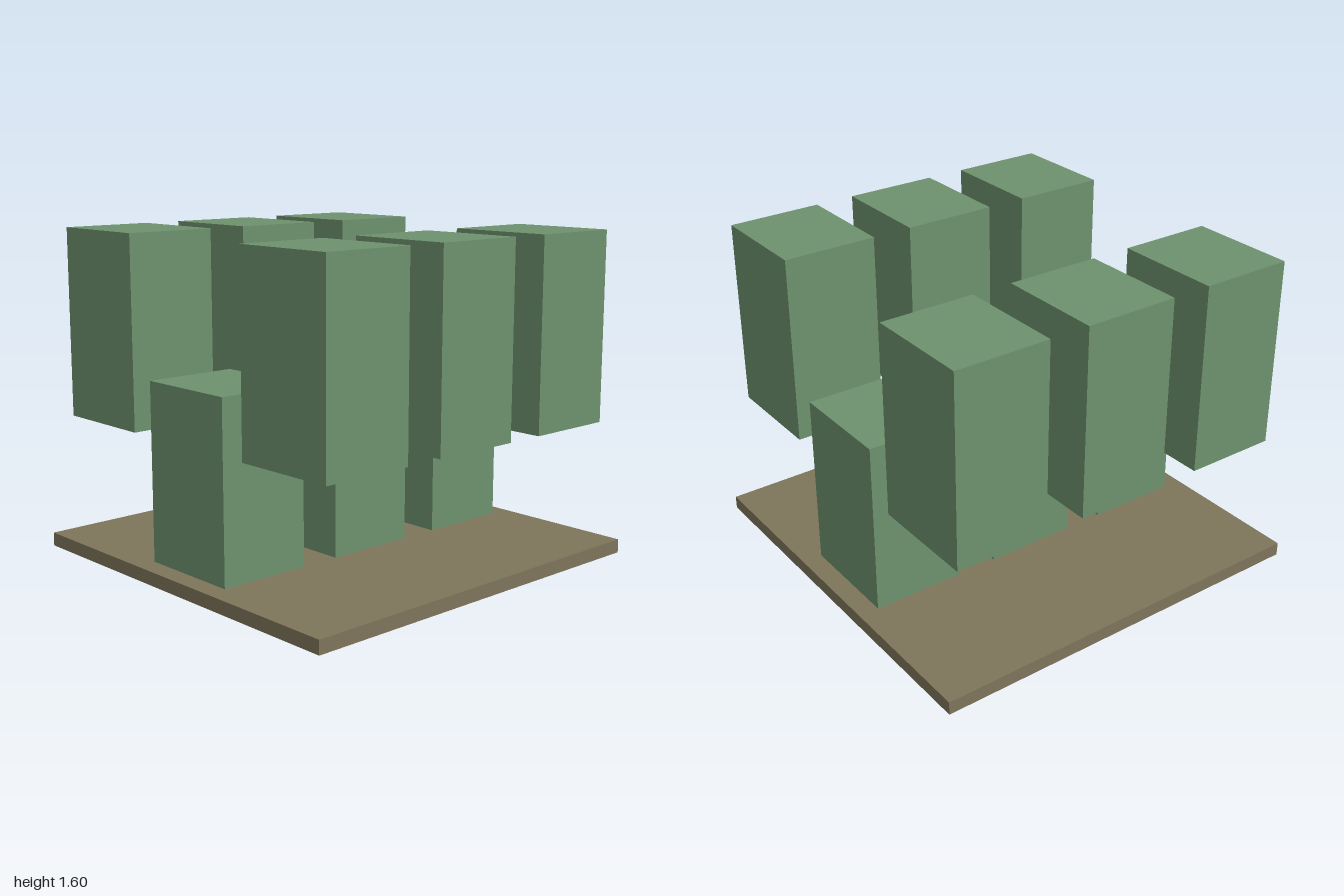
import * as THREE from 'three';

export function createModel() {
  const group = new THREE.Group();
  const green = new THREE.MeshStandardMaterial({ color: 0x6d926e });
  const brown = new THREE.MeshStandardMaterial({ color: 0x7e755b });

  function box(name, size, position, material) {
    const mesh = new THREE.Mesh(new THREE.BoxGeometry(...size), material);
    mesh.name = name;
    mesh.position.set(...position);
    group.add(mesh);
  }

  // Thin square ground slab
  const slab = 0.067;
  box('baseSlab', [2, slab, 2], [0, slab / 2, 0], brown);

  // Three rows of blocks: outer columns float, the middle one is sunk into the slab
  const spacing = 0.667, width = 0.533, depth = 0.467;
  const sunk = 0.01; // keeps the underside of the middle blocks hidden in the slab
  for (const row of [-1, 0, 1]) {
    const z = row * spacing;
    for (const [name, side] of [['rightBlock', -1], ['leftBlock', 1]]) {
      box(name, [width, 0.933, depth], [side * spacing, 1.1335, z], green);
    }
    box('middleBlock', [width, 0.933 - sunk, depth], [0, (0.933 + sunk) / 2, z], green);
  }
  return group;
}
